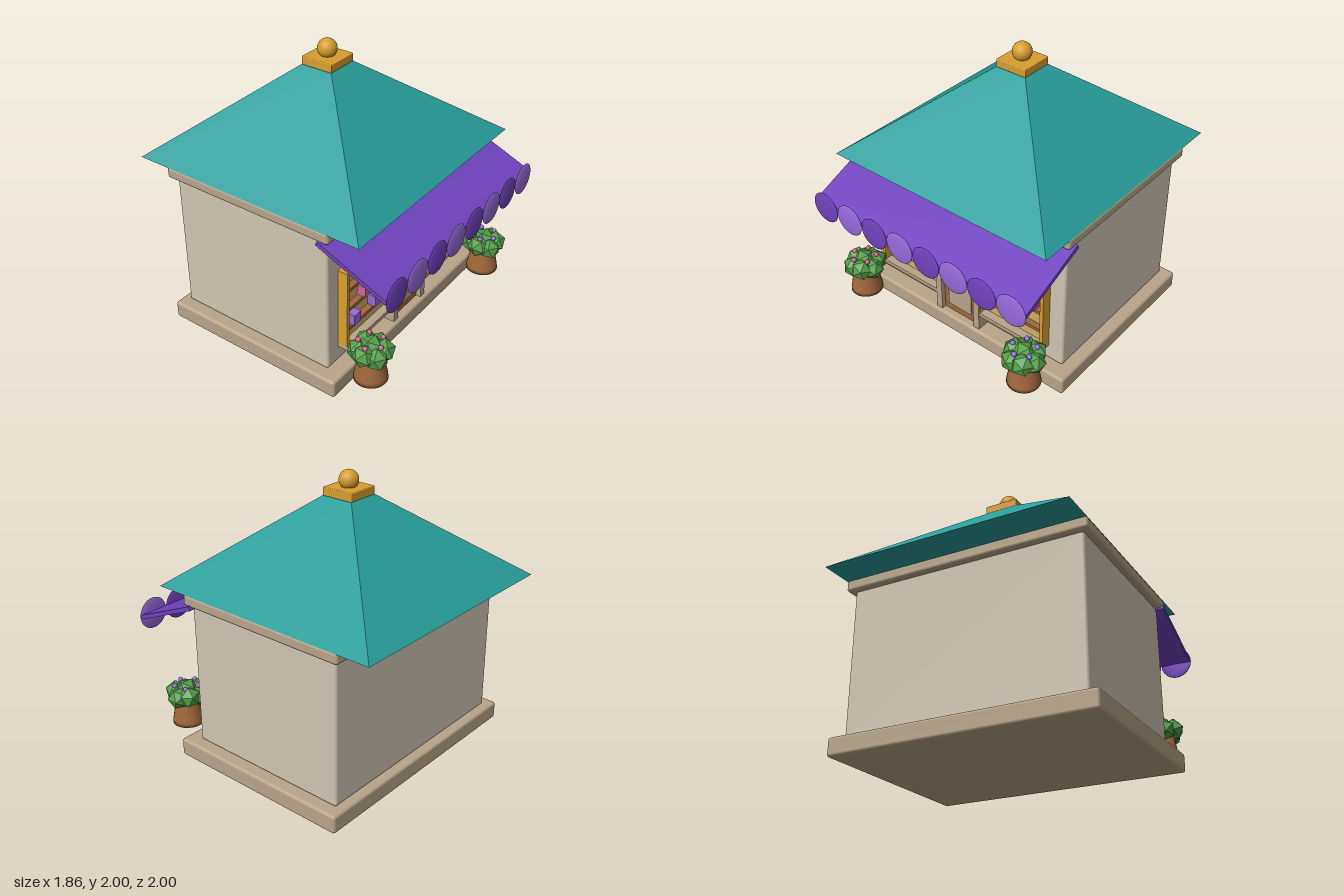
import * as THREE from 'three';
import { RoundedBoxGeometry } from 'three/addons/geometries/RoundedBoxGeometry.js';

const mat = (name, color, flat = false) => {
  const m = new THREE.MeshStandardMaterial({ color });
  m.name = name;
  m.flatShading = flat;
  return m;
};

export function createModel() {
  const model = new THREE.Group();
  model.name = 'shop';
  const teal = mat('teal roof', 0x279d9a, true);
  const stone = mat('beige stone', 0xb8a589);
  const plaster = mat('pale plaster', 0xd0c5b3);
  const gold = mat('gold trim', 0xd89e2e);
  const purple = mat('purple cloth', 0x7043bf);
  const lilac = mat('lilac cloth', 0x976bdc);
  const wood = mat('brown wood', 0xa0673a);
  const tan = mat('tan display', 0xcfae68);
  const green = mat('green leaves', 0x549f4a, true);
  const pink = mat('pink', 0xcf6296);

  const add = (name, geo, material, x, y, z, parent = model) => {
    const m = new THREE.Mesh(geo, material);
    m.name = name;
    m.position.set(x, y, z);
    parent.add(m);
    return m;
  };
  // Box given by its minimum and maximum corners; r rounds the edges
  const box = (name, material, [x0, y0, z0], [x1, y1, z1], parent = model, r = 0) => {
    const s = [x1 - x0, y1 - y0, z1 - z0];
    const geo = r ? new RoundedBoxGeometry(...s, 3, r) : new THREE.BoxGeometry(...s);
    return add(name, geo, material, (x0 + x1) / 2, (y0 + y1) / 2, (z0 + z1) / 2, parent);
  };

  // Building shell
  box('base', stone, [-0.93, 0, -0.78], [0.93, 0.13, 0.62], model, 0.02);
  box('walls', plaster, [-0.845, 0.13, -0.72], [0.845, 1.17, 0.51], model, 0.02);
  box('cornice', stone, [-0.89, 1.155, -0.765], [0.89, 1.235, 0.55], model, 0.02);

  // Hipped roof with finial
  const roof = new THREE.CylinderGeometry(0.12 * Math.SQRT2, 0.888 * Math.SQRT2, 0.6, 4);
  roof.rotateY(Math.PI / 4);
  add('roof', roof, teal, 0, 1.53, -0.112);
  box('roofCap', gold, [-0.12, 1.828, -0.232], [0.12, 1.888, 0.008], model, 0.006);
  add('finial', new THREE.SphereGeometry(0.067, 24, 16), gold, 0, 1.933, -0.112);

  // Awning and its scalloped edge
  const awning = add('awning', new THREE.BoxGeometry(1.81, 0.03, 0.55), purple, 0, 1.05, 0.728);
  awning.rotation.x = Math.atan2(0.21, 0.5);
  for (let i = 0; i < 8; i++) {
    const s = add('scallop', new THREE.SphereGeometry(0.113, 24, 16),
      i % 2 ? lilac : purple, (i - 3.5) * 0.228, 0.942, 0.986);
    s.scale.z = 0.12;
  }

  // Display windows
  for (const cx of [-0.455, 0.455]) {
    const w = new THREE.Group();
    w.name = 'window';
    w.position.x = cx;
    model.add(w);
    box('display', tan, [-0.27, 0.28, 0.5], [0.27, 0.86, 0.53], w);
    for (const s of [-1, 1])
      box('frameSide', gold, [s * 0.265 - 0.013, 0.275, 0.5], [s * 0.265 + 0.013, 0.867, 0.583], w);
    box('frameTop', gold, [-0.278, 0.84, 0.5], [0.278, 0.867, 0.583], w);
    box('sill', stone, [-0.278, 0.25, 0.5], [0.278, 0.28, 0.59], w);
    for (const y of [0.405, 0.56, 0.715])
      box('shelf', wood, [-0.253, y - 0.012, 0.52], [0.253, y + 0.012, 0.575], w);
    for (const [m, y, xs] of [[pink, 0.572, [-0.06, 0.175]], [lilac, 0.417, [-0.175, 0.06]]])
      for (const x of xs)
        box('goods', m, [x - 0.035, y, 0.53], [x + 0.035, y + 0.08, 0.593], w);
  }

  // Arched door
  box('door', wood, [-0.15, 0.13, 0.5], [0.15, 0.66, 0.56]);
  box('doorPanel', stone, [-0.103, 0.186, 0.56], [0.103, 0.52, 0.568]);
  const top = add('doorTop', new THREE.SphereGeometry(0.143, 32, 20), wood, 0, 0.66, 0.55);
  top.scale.z = 0.25;
  for (const x of [-0.17, 0.17])
    box('doorPost', stone, [x - 0.025, 0.13, 0.5], [x + 0.025, 0.66, 0.595]);
  add('doorArch', new THREE.TorusGeometry(0.175, 0.022, 10, 32, Math.PI), gold, 0, 0.66, 0.575);

  // Potted bushes with small flowers
  const potProfile = [[0, 0], [0.116, 0], [0.112, 0.03], [0.1, 0.09], [0.09, 0.15], [0.086, 0.19], [0, 0.19]]
    .map(([x, y]) => new THREE.Vector2(x, y));
  for (const side of [-1, 1]) {
    const p = new THREE.Group();
    p.name = 'planter';
    p.position.set(side * 0.728, 0.13, 0.768);
    model.add(p);
    add('pot', new THREE.LatheGeometry(potProfile, 24), wood, 0, 0, 0, p);
    for (let i = 0; i < 6; i++) {
      const a = i * Math.PI / 3;
      const leaf = add('leaves', new THREE.IcosahedronGeometry(0.08, 0), green,
        Math.cos(a) * 0.08, 0.215 + (i % 2) * 0.015, Math.sin(a) * 0.08, p);
      leaf.rotation.set(i * 0.3, i * 0.8, 0);
    }
    add('leaves', new THREE.IcosahedronGeometry(0.085, 0), green, 0, 0.245, 0, p);
    for (let i = 0; i < 5; i++) {
      const a = i * Math.PI * 0.4 + 0.5;
      add('flower', new THREE.SphereGeometry(0.018, 12, 8), side < 0 ? pink : lilac,
        Math.cos(a) * 0.085, 0.295, Math.sin(a) * 0.085, p);
    }
  }
  return model;
}
